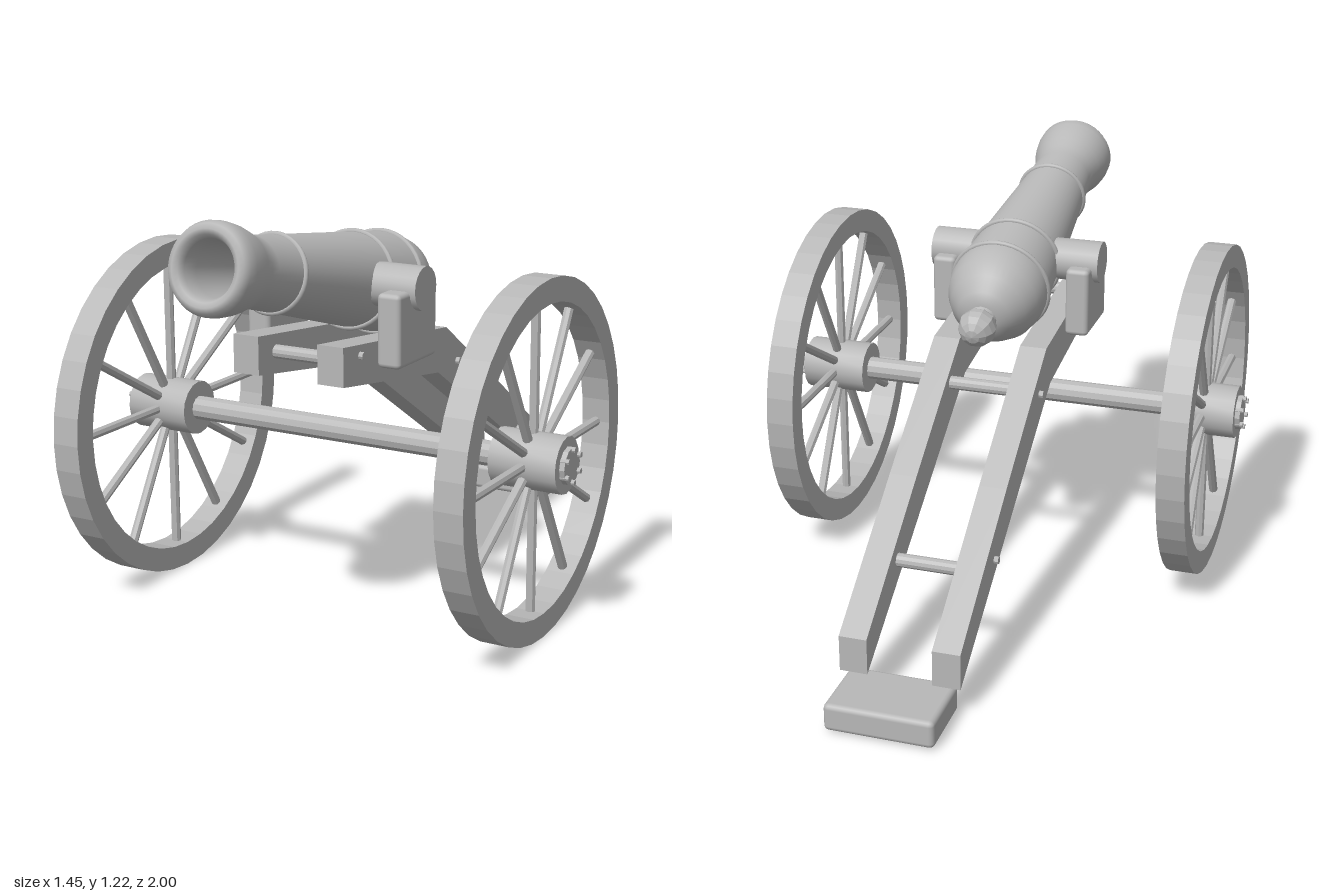
import * as THREE from 'three';
import { toCreasedNormals } from 'three/addons/utils/BufferGeometryUtils.js';
import { RoundedBoxGeometry } from 'three/addons/geometries/RoundedBoxGeometry.js';

const gray = new THREE.MeshStandardMaterial({ color: 0xb8b8b8 });
gray.name = 'gray';

function add(parent, name, geometry, x = 0, y = 0, z = 0) {
  const mesh = new THREE.Mesh(geometry, gray);
  mesh.name = name;
  mesh.position.set(x, y, z);
  parent.add(mesh);
  return mesh;
}

const flat = (g) => toCreasedNormals(g, 0.05);
const lathe = (pts, n) => new THREE.LatheGeometry(pts.map((p) => new THREE.Vector2(...p)), n);

// cylinder lying along x
const rod = (r, length, sides) =>
  toCreasedNormals(new THREE.CylinderGeometry(r, r, length, sides).rotateZ(-Math.PI / 2), 0.5);

// wheel in the yz plane, its outer side facing +x
function makeWheel() {
  const wheel = new THREE.Group();
  const ro = 0.51, ri = 0.44, h = 0.042;
  const rim = lathe([[ri, -h], [ro, -h], [ro, h], [ri, h], [ri, -h]], 40).rotateZ(-Math.PI / 2);
  add(wheel, 'rim', flat(rim));
  add(wheel, 'hub', rod(0.081, 0.2, 16));
  add(wheel, 'hubCap', rod(0.053, 0.03, 12), 0.1);
  for (let i = 0; i < 12; i++) {
    const a = (i * Math.PI) / 6;
    const spoke = new THREE.CylinderGeometry(0.014, 0.014, 0.39, 8).translate(0, 0.255, 0).rotateX(a);
    add(wheel, 'spoke', toCreasedNormals(spoke, 0.5));
  }
  for (let i = 0; i < 6; i++) {
    const a = (i * Math.PI) / 3;
    add(wheel, 'hubBolt', rod(0.008, 0.03, 8), 0.11, 0.046 * Math.cos(a), 0.046 * Math.sin(a));
  }
  return wheel;
}

// barrel built along y with the trunnion at the origin
function makeBarrel() {
  const barrel = new THREE.Group();
  const tube = lathe([
    [0, -0.39], [0.045, -0.388], [0.08, -0.37], [0.115, -0.33], [0.138, -0.285], [0.147, -0.24], [0.147, -0.2],
    [0.136, -0.045], [0.104, 0.375], [0.096, 0.49], [0.1, 0.53], [0.11, 0.565], [0.119, 0.6],
    [0.124, 0.64], [0.123, 0.668], [0.114, 0.686], [0.1, 0.692], [0.086, 0.686], [0.077, 0.668],
    [0.074, 0.62], [0.072, 0.4], [0.05, 0.36], [0, 0.345],
  ], 40);
  add(barrel, 'tube', tube);
  for (const [s, r] of [[0.375, 0.105], [-0.045, 0.138], [-0.2, 0.148]]) {
    add(barrel, 'reinforcingRing', new THREE.TorusGeometry(r, 0.008, 8, 40).rotateX(Math.PI / 2), 0, s);
  }
  add(barrel, 'breechNeck', new THREE.CylinderGeometry(0.05, 0.035, 0.06, 16), 0, -0.39);
  add(barrel, 'breechKnob', flat(new THREE.SphereGeometry(0.057, 10, 8)), 0, -0.435);
  barrel.position.set(0, 0.958, 0.305);
  barrel.rotation.x = Math.PI / 2 - THREE.MathUtils.degToRad(12.3);
  return barrel;
}

export function createModel() {
  const model = new THREE.Group();
  model.name = 'fieldCannon';

  const barrel = makeBarrel();
  barrel.name = 'barrel';
  model.add(barrel);
  add(model, 'trunnion', rod(0.063, 0.528, 20), 0, 0.955, 0.3);
  add(model, 'axle', rod(0.036, 1.1, 12), 0, 0.513, 0.307);

  // bent trail beam, drawn with shape x = -z
  const side = new THREE.Shape([
    [-0.6, 0.73], [-0.05, 0.648], [0.82, 0.093], [0.82, 0.2], [0.4, 0.5], [0, 0.775], [-0.6, 0.84],
  ].map((p) => new THREE.Vector2(...p)));
  const beam = new THREE.ExtrudeGeometry(side, { depth: 0.081, bevelEnabled: false });
  beam.translate(0, 0, -0.0405).rotateY(Math.PI / 2);

  for (const s of [1, -1]) {
    const label = s > 0 ? 'left' : 'right';
    const wheel = makeWheel();
    wheel.name = label + 'Wheel';
    wheel.position.set(s * 0.602, 0.513, 0.307);
    if (s < 0) wheel.rotation.y = Math.PI;
    model.add(wheel);
    add(model, label + 'TrailBeam', beam, s * 0.1345);
    add(model, label + 'TrunnionBlock', new RoundedBoxGeometry(0.072, 0.21, 0.222, 2, 0.014), s * 0.211, 0.85, 0.31);
  }

  // cross bars between the beams, with bolt ends outside
  for (const [y, z, by, bz] of [[0.78, 0.51, 0.8, 0.51], [0.668, -0.085, 0.658, -0.07], [0.317, -0.563, 0.334, -0.512]]) {
    add(model, 'crossBar', rod(0.02, 0.22, 12), 0, y, z);
    for (const s of [1, -1]) add(model, 'beamBolt', rod(0.011, 0.03, 8), s * 0.173, by, bz);
  }

  add(model, 'trailFoot', new RoundedBoxGeometry(0.314, 0.082, 0.212, 2, 0.015), 0, 0.05, -0.889);
  return model;
}
